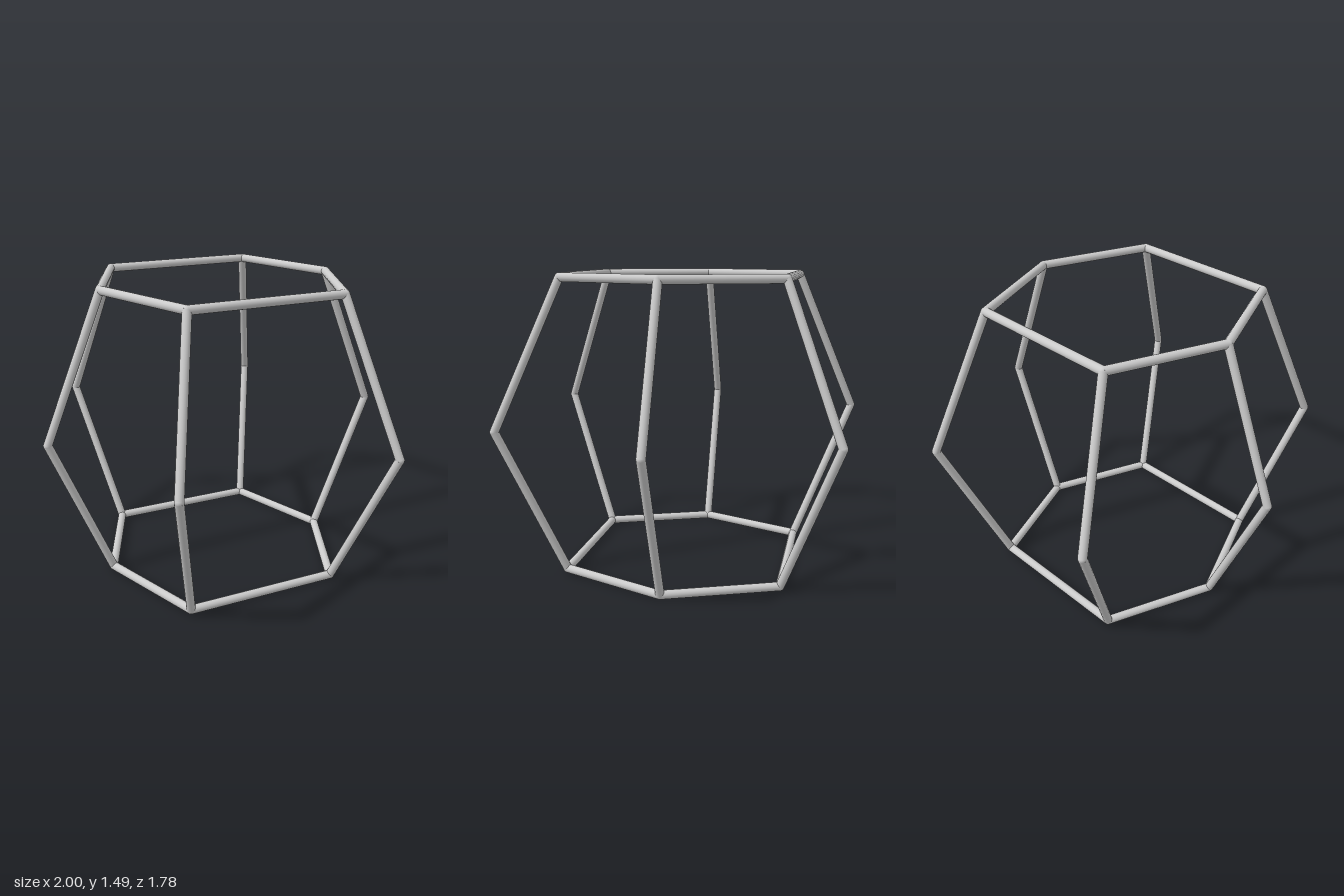
import * as THREE from 'three';

const RADIUS = 0.0215;
const BOTTOM = 0.0215, TOP = 1.464, MIDDLE = 0.743;

export function createModel() {
  const model = new THREE.Group();
  model.name = 'wireCage';
  const material = new THREE.MeshStandardMaterial({ color: 0xcccccc });
  const jointGeometry = new THREE.SphereGeometry(RADIUS, 16, 12);
  const up = new THREE.Vector3(0, 1, 0);

  // Round rod between two points
  function addRod(name, a, b) {
    const dir = b.clone().sub(a);
    const rod = new THREE.Mesh(new THREE.CylinderGeometry(RADIUS, RADIUS, dir.length(), 16), material);
    rod.position.copy(a).add(b).multiplyScalar(0.5);
    rod.quaternion.setFromUnitVectors(up, dir.normalize());
    rod.name = name;
    model.add(rod);
  }

  // Rounded corner where rods meet
  function addJoint(name, p) {
    const joint = new THREE.Mesh(jointGeometry, material);
    joint.position.copy(p);
    joint.name = name;
    model.add(joint);
  }

  // Half of the corners as [x, z]; the other half is the opposite of each
  const halfRing = [[0.272, 0.597], [0.65, -0.067], [0.298, -0.517]];
  const halfBelt = [[0.432, 0.868], [0.978, -0.057], [0.446, -0.768]];
  const opposite = ([x, z]) => [-x, -z];
  const ring = [...halfRing, ...halfRing.map(opposite)];
  const belt = [...halfBelt, ...halfBelt.map(opposite)];

  ring.forEach(([x, z], i) => {
    const [nx, nz] = ring[(i + 1) % ring.length];
    const elbow = new THREE.Vector3(belt[i][0], MIDDLE, belt[i][1]);
    addJoint('sideElbow', elbow);

    // Horizontal hexagons and the bent side struts joining them
    for (const [label, y] of [['bottom', BOTTOM], ['top', TOP]]) {
      const corner = new THREE.Vector3(x, y, z);
      addJoint(label + 'Joint', corner);
      addRod(label + 'RingRod', corner, new THREE.Vector3(nx, y, nz));
      addRod(label + 'SideStrut', corner, elbow);
    }
  });
  return model;
}
